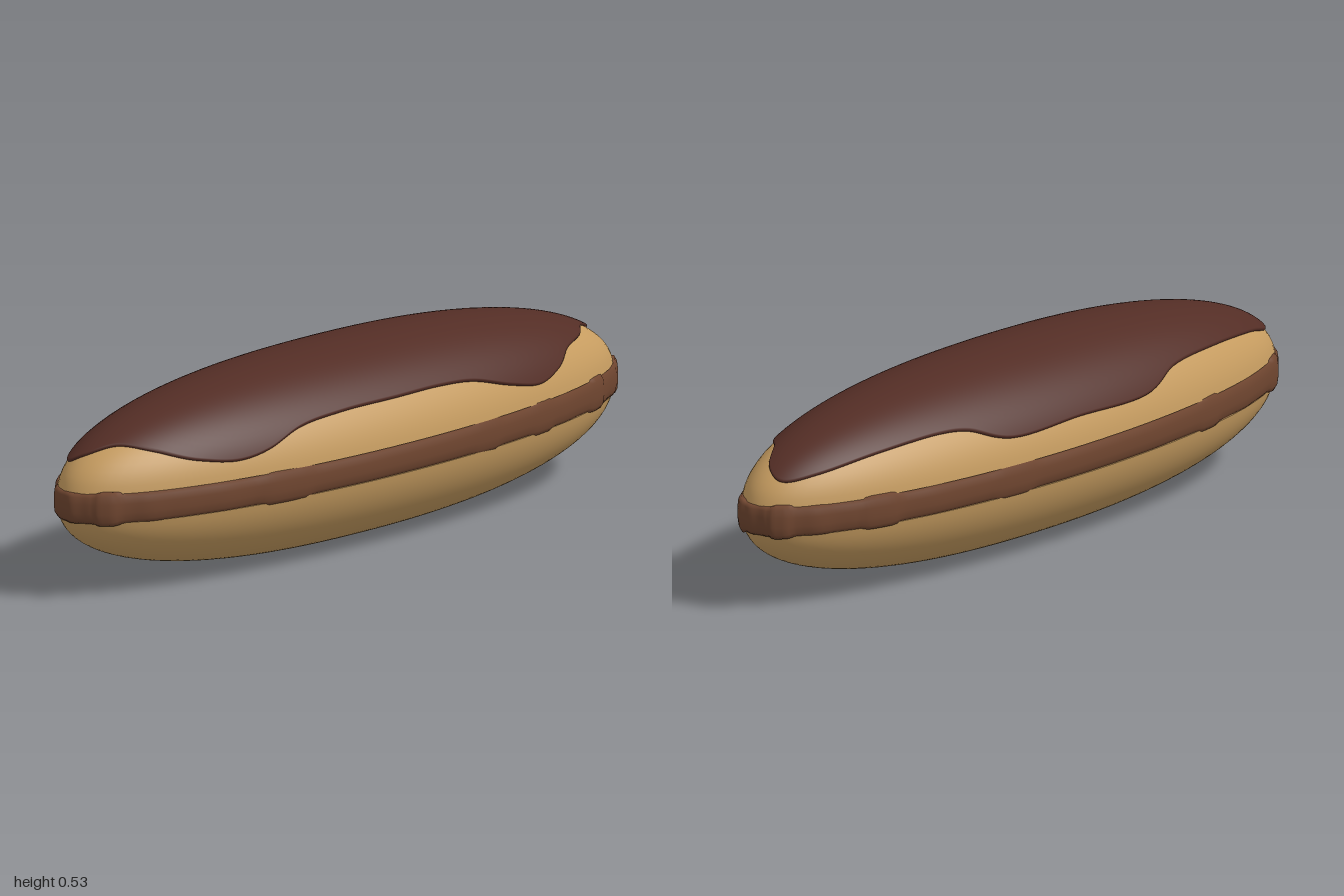
import * as THREE from 'three';

const CY = 0.265;                       // mid height of the pastry
const SIZE = { a: 0.985, h: 0.261, b: 0.279 };  // half length, height, width

// Point on the plump pastry surface: azimuth th, polar angle phi, outward offset
function pastryPoint(th, phi, off = 0) {
  const c = Math.cos(th), p = 2 + 0.35 * c * c;
  const s = Math.pow(Math.max(0, Math.sin(phi)), 2 / p);
  const t = Math.sign(Math.cos(phi)) * Math.pow(Math.abs(Math.cos(phi)), 2 / p);
  return [(SIZE.a + off) * s * c, CY + (SIZE.h + off) * t, (SIZE.b + off) * s * Math.sin(th)];
}

// Polar angle at which the surface reaches height y
function phiAt(th, y) {
  const c = Math.cos(th), p = 2 + 0.35 * c * c, t = (y - CY) / SIZE.h;
  return Math.acos(Math.sign(t) * Math.pow(Math.abs(t), p / 2));
}

// Closed rings joined from top to bottom with shared vertices
function loft(rows, cols, point) {
  const pos = [], idx = [];
  for (let i = 0; i < rows; i++)
    for (let j = 0; j < cols; j++) pos.push(...point(i, j));
  for (let i = 0; i < rows - 1; i++)
    for (let j = 0; j < cols; j++) {
      const k = (j + 1) % cols;
      const a = i * cols + j, b = i * cols + k, c = a + cols, d = b + cols;
      idx.push(a, b, c, b, d, c);
    }
  const g = new THREE.BufferGeometry();
  g.setAttribute('position', new THREE.Float32BufferAttribute(pos, 3));
  g.setIndex(idx);
  g.computeVertexNormals();
  return g;
}

// Half of the bun between a pole and its cut height
function bunHalf(cut, top) {
  const rows = 24, cols = 96;
  return loft(rows, cols, (i, j) => {
    const th = (j / cols) * Math.PI * 2, edge = phiAt(th, cut), f = i / (rows - 1);
    return pastryPoint(th, top ? edge * f : edge + (Math.PI - edge) * f);
  });
}

// Flat cut face of a bun half
function cutFace(y, up) {
  const cols = 96;
  return loft(2, cols, (i, j) => {
    const th = (j / cols) * Math.PI * 2, p = pastryPoint(th, phiAt(th, y));
    return (i === 0) === up ? [0, y, 0] : p;
  });
}

// Cream band with soft lumps around its rim
function creamBand() {
  const cols = 288;
  // azimuth in degrees and half width of the taller lumps
  const lumps = [[12, 5], [36, 3], [57, 3], [72, 3], [115, 5], [160, 4], [205, 4], [238, 3], [285, 4], [315, 4], [345, 4]];
  const profile = [[-1, 0, 0], [-1, 0.9, 0], [-1, 1, -0.006], [-0.75, 1, 0.001], [-0.3, 1, 0.004],
    [0.3, 1, 0.004], [0.75, 1, 0.001], [1, 1, -0.006], [1, 0.9, 0], [1, 0, 0]].reverse();
  return loft(profile.length, cols, (i, j) => {
    const deg = (j / cols) * 360, th = THREE.MathUtils.degToRad(deg);
    let lump = 0;
    for (const [d, w] of lumps) {
      const gap = Math.abs(((deg - d + 540) % 360) - 180);
      lump = Math.max(lump, 1 - THREE.MathUtils.smoothstep(gap, w * 0.7, w * 1.3));
    }
    const ripple = 0.5 + 0.3 * Math.sin(th * 23) + 0.2 * Math.sin(th * 37 + 1);
    const end = Math.cos(th) ** 2;
    const [v, r, o] = profile[i];
    const out = o + (0.001 + 0.006 * end) * ripple + 0.005 * lump * (0.4 + end);
    return [
      (SIZE.a * r + out) * Math.cos(th),
      0.26 + v * (0.041 + 0.005 * lump),
      ((SIZE.b - 0.004) * r + out) * Math.sin(th),
    ];
  });
}

// Glaze shell with a wavy dripping rim
function glaze() {
  // azimuth in degrees and rim height
  const rim = [[0, 0.385], [12, 0.414], [25, 0.408], [38, 0.398], [48, 0.365], [56, 0.348], [63, 0.37],
    [70, 0.403], [78, 0.414], [90, 0.415], [104, 0.413], [114, 0.398], [120, 0.362], [126, 0.348],
    [136, 0.362], [151, 0.395], [168, 0.41], [181, 0.385], [193, 0.362], [206, 0.39], [223, 0.41],
    [241, 0.408], [253, 0.37], [270, 0.374], [286, 0.37], [297, 0.41], [305, 0.418], [321, 0.403],
    [336, 0.375], [348, 0.361]];
  const curve = new THREE.CatmullRomCurve3(rim.map(([d, y]) => {
    const t = THREE.MathUtils.degToRad(d);
    return new THREE.Vector3(Math.cos(t), y, Math.sin(t));
  }), true);
  const cols = rim.length * 8, inner = 22;
  const edge = [[0.012, 0.0085], [0.022, 0.006], [0.027, 0.002], [0.025, -0.004]];
  return loft(inner + edge.length, cols, (i, j) => {
    const q = curve.getPoint(j / cols), th = Math.atan2(q.z, q.x);
    const end = phiAt(th, q.y) - 0.02;
    if (i < inner) return pastryPoint(th, end * i / (inner - 1), 0.009);
    const [d, o] = edge[i - inner];
    return pastryPoint(th, end + d, o);
  });
}

export function createModel() {
  const mat = (name, color) => Object.assign(new THREE.MeshStandardMaterial({ color }), { name });
  const dough = mat('golden dough', 0xc69c60);
  const cream = mat('chocolate cream', 0x704630);
  const icing = mat('dark chocolate', 0x532d25);

  const group = new THREE.Group();
  group.name = 'filledPastry';
  const add = (name, geometry, material) => {
    const mesh = new THREE.Mesh(geometry, material);
    mesh.name = name;
    group.add(mesh);
  };
  add('bottomBun', bunHalf(0.22, false), dough);
  add('bottomBunCut', cutFace(0.22, true), dough);
  add('creamFilling', creamBand(), cream);
  add('topBun', bunHalf(0.3, true), dough);
  add('topBunCut', cutFace(0.3, false), dough);
  add('chocolateGlaze', glaze(), icing);
  return group;
}
